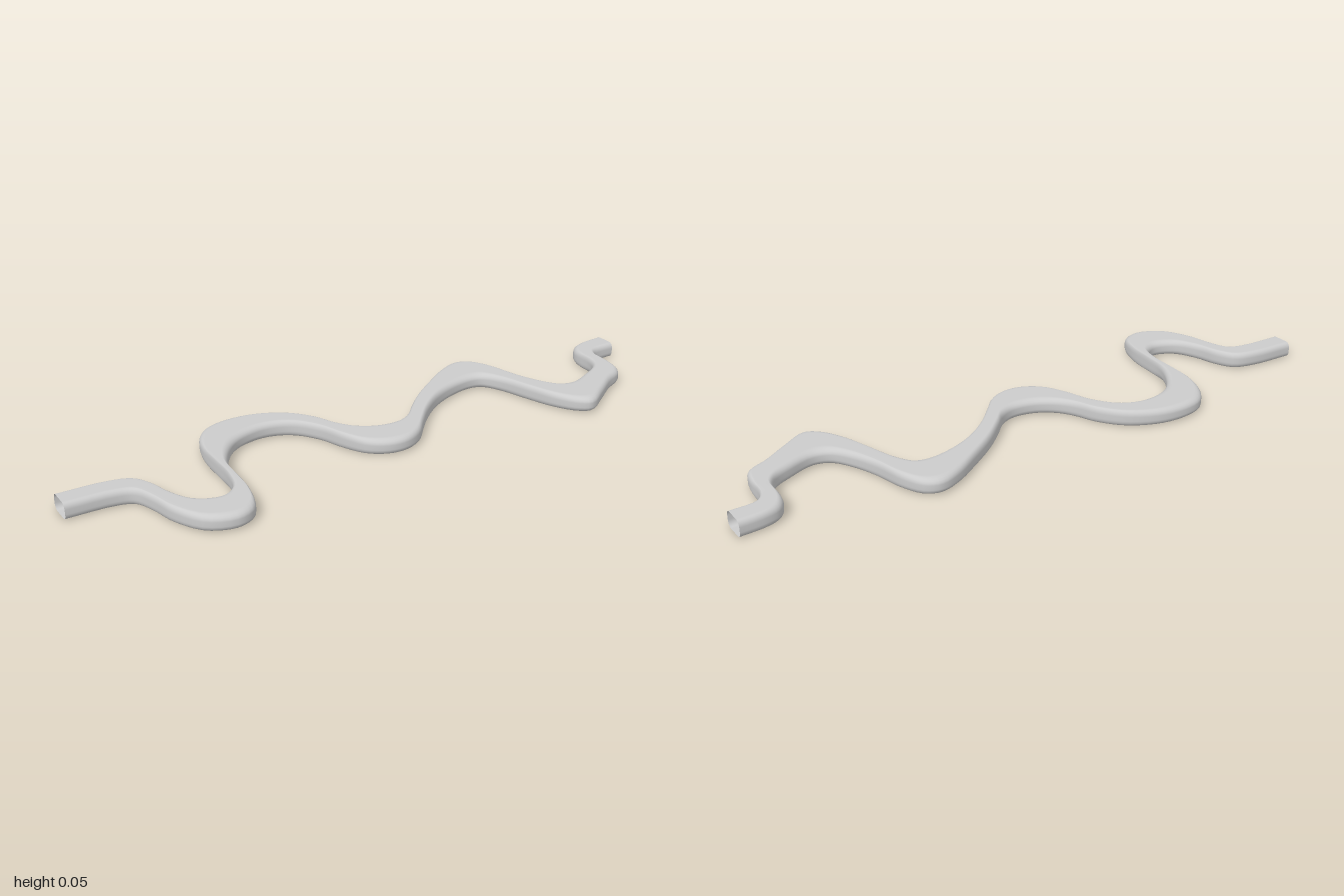
import * as THREE from 'three';

const HEIGHT = 0.053;
const STATIONS = 144;

// Back and front outlines of the winding strip as [x, z], paired station by station
const BACK = [
  [-1, -0.12], [-0.86, -0.11], [-0.785, -0.085], [-0.75, -0.03], [-0.73, 0.04], [-0.69, 0.11], [-0.62, 0.14],
  [-0.57, 0.11], [-0.55, 0.04], [-0.546, -0.05], [-0.54, -0.14], [-0.515, -0.21], [-0.47, -0.255],
  [-0.4, -0.27], [-0.31, -0.257], [-0.22, -0.207], [-0.16, -0.135], [-0.13, -0.07], [-0.09, -0.018],
  [-0.03, 0.02], [0.04, 0.03], [0.09, 0.01], [0.13, -0.028], [0.2, -0.09], [0.3, -0.158], [0.38, -0.207],
  [0.45, -0.23], [0.495, -0.21], [0.53, -0.145], [0.555, -0.045], [0.59, 0.04], [0.63, 0.095], [0.68, 0.11],
  [0.76, 0.085], [0.82, 0.055], [0.843, 0.015], [0.85, -0.065], [0.875, -0.1], [0.92, -0.115], [1, -0.12],
];
const FRONT = [
  [-1, -0.04], [-0.86, -0.03], [-0.81, -0.01], [-0.785, 0.05], [-0.763, 0.14], [-0.71, 0.23], [-0.63, 0.264],
  [-0.57, 0.24], [-0.54, 0.165], [-0.53, 0.07], [-0.52, -0.01], [-0.48, -0.085], [-0.435, -0.13],
  [-0.38, -0.154], [-0.31, -0.16], [-0.24, -0.132], [-0.185, -0.06], [-0.152, 0.03], [-0.115, 0.1],
  [-0.06, 0.138], [0, 0.145], [0.06, 0.12], [0.11, 0.07], [0.17, 0.01], [0.25, -0.048], [0.34, -0.083],
  [0.42, -0.093], [0.46, -0.08], [0.495, -0.025], [0.53, 0.08], [0.56, 0.165], [0.6, 0.23], [0.64, 0.255],
  [0.72, 0.212], [0.8, 0.162], [0.868, 0.13], [0.886, 0.075], [0.89, 0.0], [0.915, -0.035], [1, -0.04],
];

// Rounded-rectangle section as (across 0..1, up 0..1), running front, top, back, bottom
function sectionPoints() {
  const points = [];
  const rx = 0.2, ry = 0.36, steps = 5;
  [[1 - rx, 1 - ry], [rx, 1 - ry], [rx, ry], [1 - rx, ry]].forEach(([cx, cy], corner) => {
    for (let k = 0; k <= steps; k++) {
      const a = (corner + k / steps) * Math.PI / 2;
      points.push([cx + rx * Math.cos(a), cy + ry * Math.sin(a)]);
    }
  });
  return points;
}

const outline = (pairs) => new THREE.CatmullRomCurve3(
  pairs.map(([x, z]) => new THREE.Vector3(x, 0, z)), false, 'centripetal');

export function createModel() {
  const back = outline(BACK), front = outline(FRONT);
  const section = sectionPoints(), n = section.length;
  const positions = [], index = [];

  // Loft the section between the two outlines, leaving both ends open
  for (let i = 0; i <= STATIONS; i++) {
    const b = back.getPoint(i / STATIONS), f = front.getPoint(i / STATIONS);
    for (const [across, up] of section) {
      const p = b.clone().lerp(f, across);
      positions.push(p.x, up * HEIGHT, p.z);
    }
    if (i === STATIONS) break;
    for (let j = 0; j < n; j++) {
      const a = i * n + j, c = i * n + (j + 1) % n;
      index.push(a, a + n, c, c, a + n, c + n);
    }
  }

  const geometry = new THREE.BufferGeometry();
  geometry.setAttribute('position', new THREE.Float32BufferAttribute(positions, 3));
  geometry.setIndex(index);
  geometry.computeVertexNormals();

  const strip = new THREE.Mesh(geometry,
    new THREE.MeshStandardMaterial({ color: 0xcccccc, side: THREE.DoubleSide }));
  strip.name = 'windingStrip';

  const model = new THREE.Group();
  model.name = 'windingPath';
  model.add(strip);
  return model;
}
